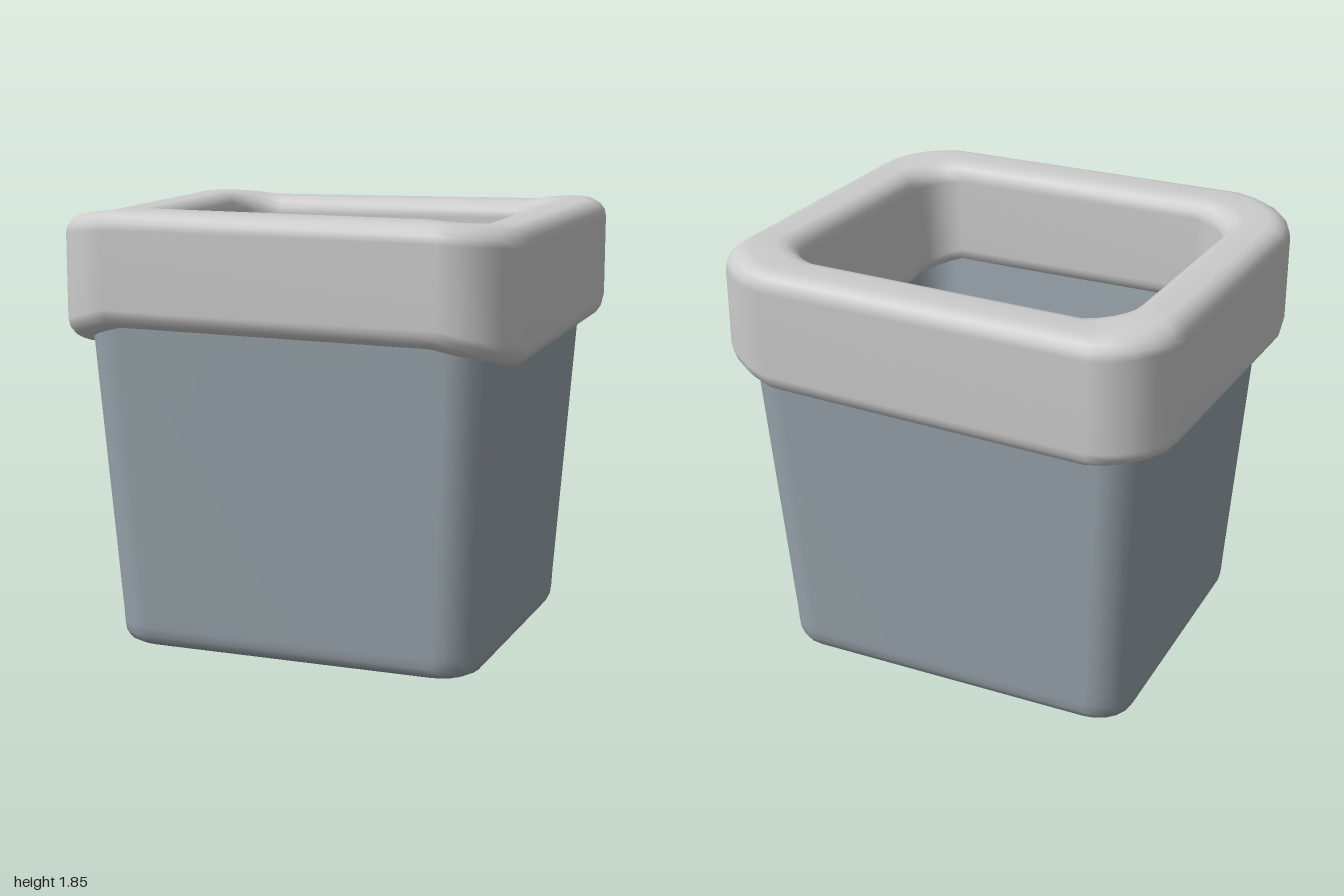
import * as THREE from 'three';

const CORNER_STEPS = 5;

// Rounded rectangle as [x, z, corner index, 0..1 through the corner]
function roundedRing(hx, hz, r) {
  const points = [];
  for (let k = 0; k < 4; k++) {
    const sx = k === 0 || k === 3 ? 1 : -1;
    const sz = k < 2 ? 1 : -1;
    for (let i = 0; i <= CORNER_STEPS; i++) {
      const t = i / CORNER_STEPS;
      const a = (k + t) * Math.PI / 2;
      points.push([sx * (hx - r) + r * Math.cos(a), sz * (hz - r) + r * Math.sin(a), k, t]);
    }
  }
  return points;
}

// Skin a list of rings of [x, y, z] points
function loft(rings, closed) {
  const n = rings[0].length;
  const index = [];
  const last = closed ? rings.length : rings.length - 1;
  for (let i = 0; i < last; i++) {
    const up = (i + 1) % rings.length;
    for (let j = 0; j < n; j++) {
      const next = (j + 1) % n;
      const a = i * n + j, b = up * n + j, c = up * n + next, d = i * n + next;
      index.push(a, b, c, a, c, d);
    }
  }
  const geometry = new THREE.BufferGeometry();
  geometry.setAttribute('position', new THREE.Float32BufferAttribute(rings.flat(2), 3));
  geometry.setIndex(index);
  geometry.computeVertexNormals();
  return geometry;
}

// Tapered bin: underside, outer wall, hidden lip, inner wall and floor
function createBin() {
  const profile = [ // half width, half depth, corner radius, height
    [0, 0, 0, 0], [0.70, 0.60, 0.10, 0], [0.745, 0.645, 0.13, 0.003],
    [0.777, 0.673, 0.15, 0.02], [0.793, 0.688, 0.16, 0.05], [0.798, 0.693, 0.165, 0.09],
    [0.80, 0.695, 0.165, 0.14], [0.875, 0.77, 0.18, 1.3], [0.89, 0.785, 0.18, 1.58],
    [0.88, 0.775, 0.18, 1.6], [0.78, 0.66, 0.16, 1.6], [0.77, 0.65, 0.16, 1.58],
    [0.745, 0.625, 0.16, 1.3], [0.66, 0.545, 0.13, 0.22], [0.65, 0.535, 0.12, 0.17],
    [0.625, 0.51, 0.11, 0.14], [0.58, 0.465, 0.09, 0.13], [0, 0, 0, 0.13],
  ];
  const rings = profile.map(([hx, hz, r, y]) =>
    roundedRing(hx, hz, r).map(([x, z]) => [x, y, z]));
  return loft(rings, false);
}

// Lower and upper heights of the collar at the start, middle and end of each corner
const WAVE = [
  [[1.27, 1.815], [1.31, 1.825], [1.355, 1.84]],  // front, +x
  [[1.37, 1.85], [1.32, 1.83], [1.27, 1.81]],     // front, -x
  [[1.31, 1.845], [1.30, 1.84], [1.28, 1.82]],    // back, -x
  [[1.31, 1.83], [1.37, 1.855], [1.33, 1.845]],   // back, +x
];

function waveHeight(k, t, side) {
  const s = t * 2, i = s < 1 ? 0 : 1;
  return THREE.MathUtils.lerp(WAVE[k][i][side], WAVE[k][i + 1][side], s - i);
}

// Soft uneven collar: a rounded section swept around the bin, turned slightly
function createCollar() {
  const width = 0.25, round = 0.08, steps = 4;
  const section = []; // inset from the outer face, height offset, lower or upper edge
  for (let q = 0; q < 4; q++) {
    const outer = q < 2, upper = q === 1 || q === 2;
    for (let i = 0; i <= steps; i++) {
      const a = -Math.PI / 2 - (q + i / steps) * Math.PI / 2;
      section.push([
        (outer ? round : width - round) + round * Math.cos(a),
        (upper ? -round : round) + round * Math.sin(a),
        upper ? 1 : 0,
      ]);
    }
  }
  const rings = section.map(([inset, dy, side]) =>
    roundedRing(0.985 - inset, 0.855 - inset, 0.28 - inset * 0.45).map(([x, z, k, t]) =>
      [x - 0.018 * z, waveHeight(k, t, side) + dy, z + 0.013 * x]));
  return loft(rings, true);
}

export function createModel() {
  const group = new THREE.Group();
  group.name = 'wasteBin';

  const bin = new THREE.Mesh(createBin(), new THREE.MeshStandardMaterial({ color: 0x98a4ab }));
  bin.name = 'bin';

  const collar = new THREE.Mesh(createCollar(), new THREE.MeshStandardMaterial({ color: 0xcccccc }));
  collar.name = 'rimCollar';

  group.add(bin, collar);
  return group;
}
